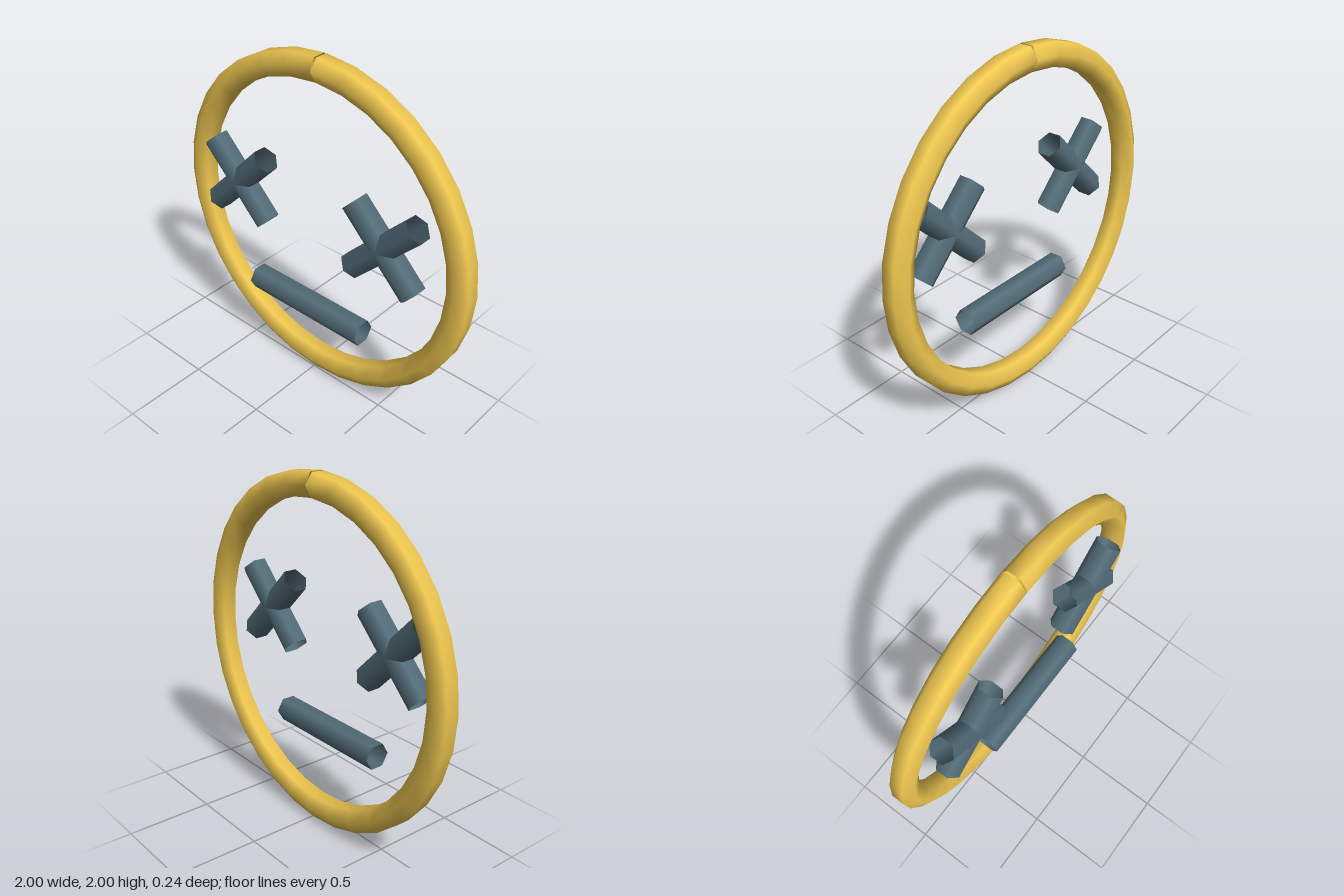
import * as THREE from 'three';

const TUBE = 0.0765; // corner radius of every six-sided tube
const yellow = new THREE.MeshStandardMaterial({ color: 0xf0c850, side: THREE.DoubleSide });
const slate = new THREE.MeshStandardMaterial({ color: 0x546e7a, side: THREE.DoubleSide });

// Six-sided tube bent into a 32-segment circle, open at the top where the
// square-cut ends leave a small wedge-shaped seam
function ringGeometry(radius, segments, sides) {
  const pos = [], index = [];
  const step = (Math.PI * 2) / segments;
  for (let i = 0; i <= segments; i++) {
    const a = i * step;
    // end sections sit square to their own segment
    const tilt = a + (i === 0 ? step / 2 : i === segments ? -step / 2 : 0);
    for (let j = 0; j < sides; j++) {
      const t = ((j + 0.5) / sides) * Math.PI * 2;
      const out = TUBE * Math.cos(t);
      pos.push(
        radius * Math.sin(a) + out * Math.sin(tilt),
        radius * Math.cos(a) + out * Math.cos(tilt),
        TUBE * Math.sin(t)
      );
      if (i < segments) {
        const k = (j + 1) % sides;
        const p = i * sides + j, q = i * sides + k;
        index.push(p, q, p + sides, q, q + sides, p + sides);
      }
    }
  }
  const g = new THREE.BufferGeometry();
  g.setAttribute('position', new THREE.Float32BufferAttribute(pos, 3));
  g.setIndex(index);
  g.computeVertexNormals();
  return g;
}

// Straight hollow six-sided bar, turned in the face plane
function bar(name, length, angle) {
  const m = new THREE.Mesh(new THREE.CylinderGeometry(TUBE, TUBE, length, 6, 1, true), slate);
  m.rotation.z = angle;
  m.name = name;
  return m;
}

export function createModel() {
  const group = new THREE.Group();
  group.name = 'face';

  // Head outline
  const ring = new THREE.Mesh(ringGeometry(0.934, 32, 6), yellow);
  ring.name = 'headRing';
  ring.position.set(0, 1, -0.045);
  group.add(ring);

  // Crossed eyes
  for (const side of [-1, 1]) {
    const eye = new THREE.Group();
    eye.name = side > 0 ? 'leftEye' : 'rightEye';
    eye.add(bar('eyeBarA', 0.56, Math.PI / 4), bar('eyeBarB', 0.56, -Math.PI / 4));
    eye.position.set(side * 0.511, 1.14, 0.045);
    group.add(eye);
  }

  // Mouth
  const mouth = bar('mouth', 0.8, Math.PI / 2);
  mouth.position.set(0, 0.515, 0.045);
  group.add(mouth);

  return group;
}
